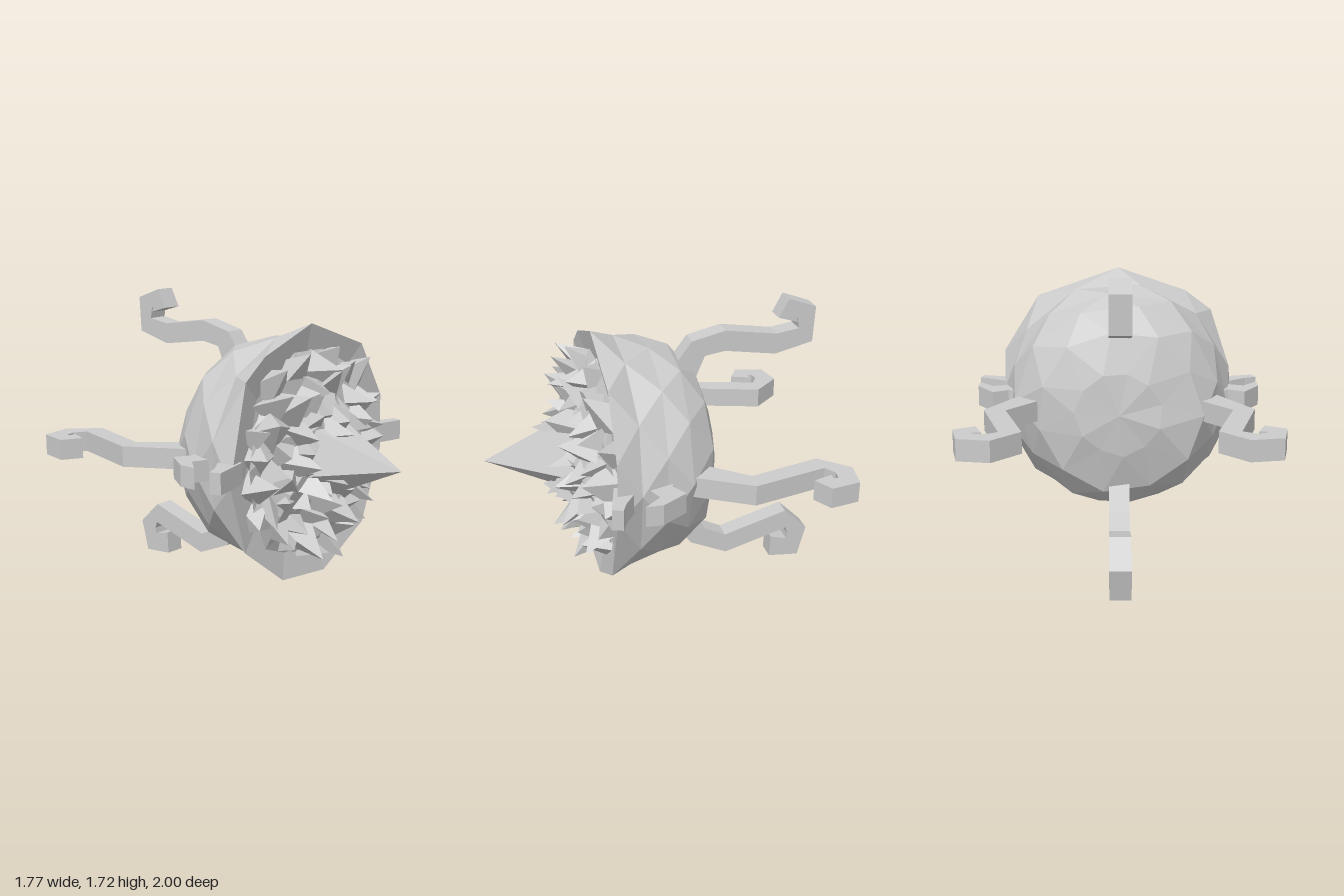
import * as THREE from 'three';

const CENTER_Y = 0.88;
const material = new THREE.MeshStandardMaterial({ color: 0xcccccc, flatShading: true, side: THREE.DoubleSide });

// Small seeded generator, returns -1..1
let seed = 11;
function jitter() {
  seed = (seed * 16807) % 2147483647;
  return (seed / 2147483647) * 2 - 1;
}

function part(geometry, name) {
  const mesh = new THREE.Mesh(geometry, material);
  mesh.name = name;
  return mesh;
}

// Skin a list of closed rings, each an array of [x, y, z]
function loft(rings) {
  const n = rings[0].length;
  const index = [];
  for (let i = 0; i < rings.length - 1; i++) {
    for (let j = 0; j < n; j++) {
      const k = (j + 1) % n;
      const a = i * n + j, b = i * n + k, c = b + n, d = a + n;
      index.push(a, b, d, b, c, d);
    }
  }
  const geo = new THREE.BufferGeometry();
  geo.setAttribute('position', new THREE.Float32BufferAttribute(rings.flat(2), 3));
  geo.setIndex(index);
  const flat = geo.toNonIndexed();
  flat.computeVertexNormals();
  return flat;
}

function circle(n, radius, z, start, wobble) {
  return Array.from({ length: n }, (_, j) => {
    const a = start + (j / n) * Math.PI * 2;
    const r = radius + (radius ? wobble * jitter() : 0);
    return [r * Math.cos(a), r * Math.sin(a), z + (radius ? wobble * jitter() : 0)];
  });
}

// Irregular outline of the front rim, as [x, y] about the body axis
const RIM = [[0.70, 0.24], [0.49, 0.58], [0, 0.75], [-0.41, 0.61], [-0.57, 0.49], [-0.70, -0.06],
  [-0.58, -0.46], [-0.25, -0.71], [0.14, -0.75], [0.53, -0.54], [0.71, -0.1]];

// Bowl-shaped body closed by a sloping lip inside the rim
function makeShell() {
  const n = RIM.length;
  const step = (Math.PI * 2) / n;
  const start = THREE.MathUtils.degToRad(19);
  const profile = [[0, -0.33], [0.25, -0.31], [0.48, -0.24], [0.6, -0.1], [0.66, 0.05], [0.68, 0.21]];
  const rings = profile.map(([r, z], i) =>
    circle(n, r, z, start - (profile.length - i) * step / 2, 0.015));
  rings.push(RIM.map(([x, y]) => [x, y, 0.36]));
  rings.push(RIM.map(([x, y]) => [x * 0.76, y * 0.76, 0.32]));
  rings.push(RIM.map(() => [0, 0, 0.32]));
  return loft(rings);
}

// Rough dome under the crystals
const domeZ = r => 0.36 + 0.24 * (1 - r / 0.6);
function makeDome() {
  const rings = [0.58, 0.46, 0.34, 0.22, 0.1, 0].map((r, i) =>
    circle(14, r, domeZ(r) - 0.02, i * 0.22, 0.045));
  return loft(rings);
}

// One crystal: a skewed pyramid pointing along a direction
function makeCrystal(base, dir, radius, height, sides) {
  const geo = new THREE.ConeGeometry(radius, height, sides, 1, true);
  geo.rotateY(jitter() * Math.PI);
  geo.translate(0, height / 2, 0);
  geo.applyQuaternion(new THREE.Quaternion().setFromUnitVectors(new THREE.Vector3(0, 1, 0), dir.normalize()));
  geo.translate(base.x, base.y, base.z);
  return geo;
}

function makeFace() {
  const face = new THREE.Group();
  face.name = 'face';
  face.add(part(makeDome(), 'faceDome'));
  const count = 72;
  for (let i = 2; i < count; i++) {
    const r = 0.55 * Math.sqrt(i / count);
    const a = i * 2.39996;
    const x = r * Math.cos(a), y = r * Math.sin(a);
    const base = new THREE.Vector3(x, y, domeZ(r) - 0.07);
    const dir = new THREE.Vector3(x * 0.7 + jitter() * 0.4, y * 0.7 + jitter() * 0.4, 0.75);
    const radius = 0.115 + 0.03 * jitter();
    const height = 0.19 + 0.06 * jitter();
    face.add(part(makeCrystal(base, dir, radius, height, 3 + (i % 2)), 'crystal'));
  }
  // Large central spike
  face.add(part(makeCrystal(new THREE.Vector3(0, 0, 0.5), new THREE.Vector3(-0.02, 0, 0.5), 0.23, 0.5, 5), 'noseSpike'));
  return face;
}

// Four-sided arm following [outward, z] points, built toward +x
function makeArm(path) {
  const rings = path.map(([x, z], i) => {
    const p = path[Math.max(i - 1, 0)], q = path[Math.min(i + 1, path.length - 1)];
    const t = new THREE.Vector2(q[0] - p[0], q[1] - p[1]).normalize();
    const h = i === 0 ? 0.085 : 0.062;
    return [[1, 1], [-1, 1], [-1, -1], [1, -1]].map(([u, v]) =>
      [x + t.y * u * h, v * 0.06, z - t.x * u * h]);
  });
  const cap = ([x, z]) => Array.from({ length: 4 }, () => [x, 0, z]);
  return loft([cap(path[0]), ...rings, cap(path[path.length - 1])]);
}

// Two flat claws on each side of the rim, as [outward, z] outlines
const CLAWS = [
  [[0.6, 0.02], [0.66, 0.04], [0.75, -0.01], [0.85, 0.14], [0.85, 0.24], [0.76, 0.14], [0.6, 0.2]],
  [[0.6, 0.22], [0.7, 0.27], [0.79, 0.33], [0.86, 0.36], [0.84, 0.42], [0.6, 0.36]],
];
function makeClaw(outline) {
  const shape = new THREE.Shape(outline.map(([x, z]) => new THREE.Vector2(x, z)));
  const geo = new THREE.ExtrudeGeometry(shape, { depth: 0.12, bevelEnabled: false });
  geo.rotateX(Math.PI / 2);
  geo.translate(0, 0.06, 0);
  return geo;
}

const SIDE_PATH = [[0.5, -0.12], [0.7, -0.41], [0.58, -0.84], [0.69, -0.94], [0.81, -0.92], [0.83, -0.82], [0.75, -0.79]];
const TOP_PATH = [[0.42, -0.15], [0.61, -0.26], [0.645, -0.42], [0.6, -0.73], [0.64, -0.91], [0.78, -0.91], [0.81, -0.82], [0.74, -0.8]];
const BOTTOM_PATH = [[0.45, -0.16], [0.63, -0.28], [0.71, -0.46], [0.59, -0.85], [0.68, -0.93], [0.81, -0.9], [0.8, -0.8], [0.72, -0.82]];

export function createModel() {
  const model = new THREE.Group();
  model.name = 'creature';
  const body = new THREE.Group();
  body.name = 'body';
  body.position.y = CENTER_Y;
  model.add(body);

  body.add(part(makeShell(), 'shell'), makeFace());

  // Arms trail behind the body on four sides; claws sit left and right
  const limbs = [['left', SIDE_PATH, true], ['top', TOP_PATH, false],
    ['right', SIDE_PATH, true], ['bottom', BOTTOM_PATH, false]];
  limbs.forEach(([side, path, clawed], i) => {
    const limb = new THREE.Group();
    limb.name = side + 'Limb';
    limb.rotation.z = (i * Math.PI) / 2;
    limb.add(part(makeArm(path), side + 'Arm'));
    if (clawed) CLAWS.forEach(o => limb.add(part(makeClaw(o), side + 'Claw')));
    body.add(limb);
  });
  return model;
}
